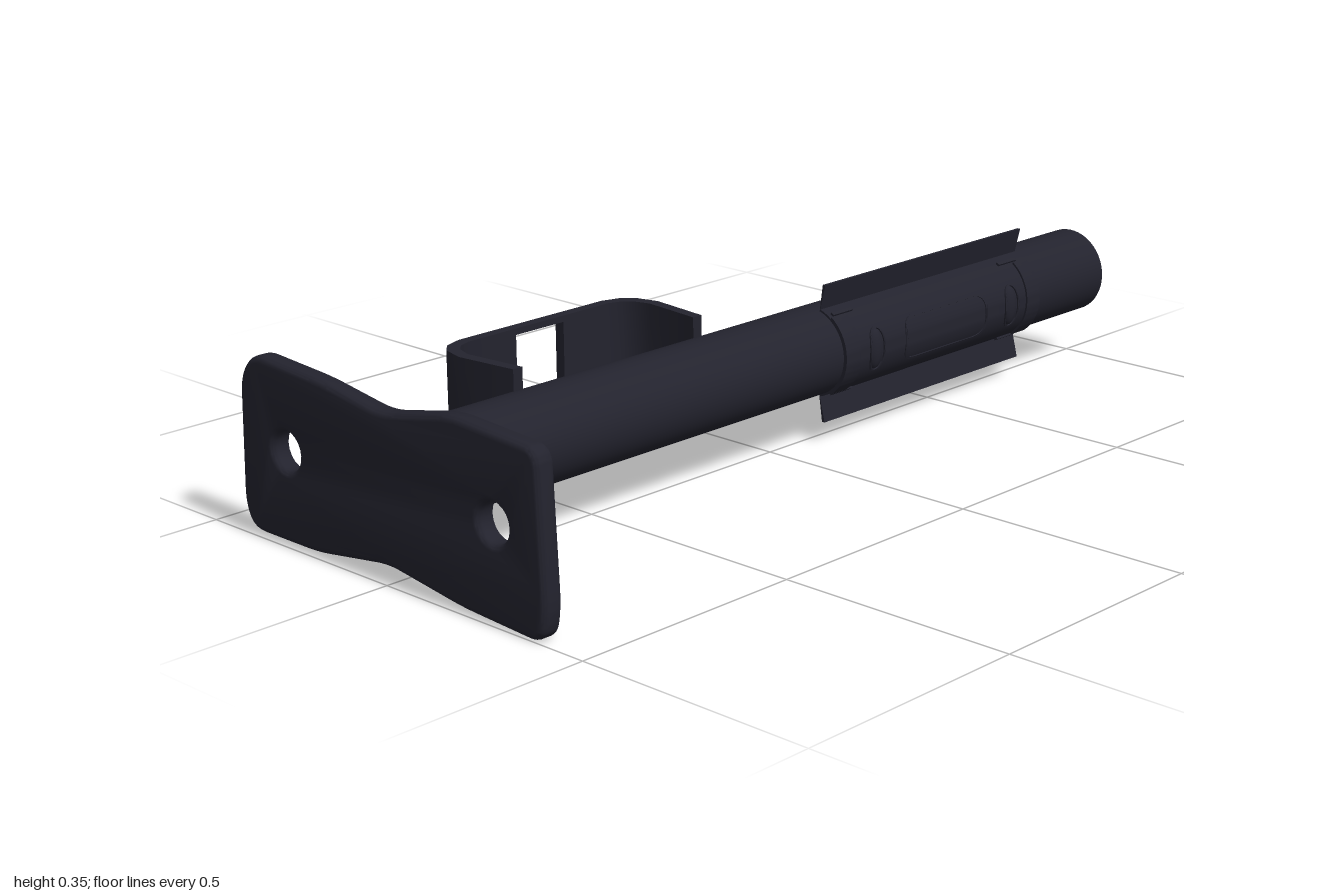
import * as THREE from 'three';
import { toCreasedNormals } from 'three/addons/utils/BufferGeometryUtils.js';

const AXIS_Y = 0.19; // height of the tube axis
const TUBE_R = 0.092;
const V = (x, y) => new THREE.Vector2(x, y);

// Closed path through points, every corner rounded by r
function roundedPath(path, pts, r) {
  pts.forEach((p, i) => {
    const toward = (q) => {
      const d = q.clone().sub(p);
      return p.clone().add(d.setLength(Math.min(r, d.length() / 2)));
    };
    const a = toward(pts[(i + pts.length - 1) % pts.length]);
    const b = toward(pts[(i + 1) % pts.length]);
    if (i === 0) path.moveTo(a.x, a.y); else path.lineTo(a.x, a.y);
    path.quadraticCurveTo(p.x, p.y, b.x, b.y);
  });
  path.closePath();
  return path;
}

// Extrudes a (-z, y) section along x
function extrudeX(shape, x0, length, options = {}) {
  const g = new THREE.ExtrudeGeometry(shape, { depth: length, bevelEnabled: false, curveSegments: 24, ...options });
  g.rotateY(Math.PI / 2).translate(x0, 0, 0);
  return toCreasedNormals(g, 0.6);
}

// Section of a shell around the tube's front, with optional flared lips
function shellSection(inner, outer, half, lips) {
  const s = new THREE.Shape(), n = 28, at = (r, a) => [-r * Math.cos(a), r * Math.sin(a)];
  s.moveTo(...at(outer, -half));
  for (let i = 1; i <= n; i++) s.lineTo(...at(outer, -half + (2 * half * i) / n));
  if (lips) { s.lineTo(-0.041, 0.145); s.lineTo(-0.034, 0.145); }
  for (let i = 0; i <= n; i++) s.lineTo(...at(inner, half - (2 * half * i) / n));
  if (lips) { s.lineTo(-0.034, -0.145); s.lineTo(-0.041, -0.145); }
  s.closePath();
  return s;
}

// Thin outline wrapped on the front of the sleeve
function wrappedFrame(w, h, r, line, radius) {
  const box = (path, a, b, c) => roundedPath(path, [V(-a, -b), V(a, -b), V(a, b), V(-a, b)], c);
  const outer = box(new THREE.Path(), w / 2, h / 2, r).getSpacedPoints(96);
  const inner = box(new THREE.Path(), w / 2 - line, h / 2 - line, r - line / 2).getSpacedPoints(96);
  const shape = new THREE.Shape(outer.slice(0, -1));
  shape.holes.push(new THREE.Path(inner.slice(0, -1)));
  const g = new THREE.ExtrudeGeometry(shape, { depth: 0.004, bevelEnabled: false });
  const p = g.attributes.position;
  for (let i = 0; i < p.count; i++) {
    const a = p.getY(i) / radius, q = radius + p.getZ(i);
    p.setXYZ(i, p.getX(i), q * Math.sin(a), q * Math.cos(a));
  }
  return toCreasedNormals(g, 0.6);
}

export function createModel() {
  const model = new THREE.Group();
  model.name = 'wallTubeBracket';
  const paint = new THREE.MeshStandardMaterial({ color: 0x23232e });
  paint.name = 'darkPaint';
  const add = (name, geometry, x = 0, y = 0, z = 0) => {
    const m = new THREE.Mesh(geometry, paint);
    m.name = name;
    m.position.set(x, y, z);
    model.add(m);
    return m;
  };

  // Waisted base plate with two bolt holes
  const outline = [
    [-0.41, 0.055], [-0.385, 0.011], [-0.2, 0.011], [0, 0.039], [0.2, 0.011], [0.4, 0],
    [0.412, 0.06], [0.398, 0.345], [0.18, 0.358], [0, 0.321], [-0.17, 0.346], [-0.362, 0.358], [-0.402, 0.31],
  ].map(([z, y]) => V(-z, y));
  const plate = roundedPath(new THREE.Shape(), outline.reverse(), 0.035);
  // The waist gets its long sweep from the shallow angles of the outline
  for (const z of [0.284, -0.274]) {
    plate.holes.push(new THREE.Path().absarc(-z, 0.188, 0.038, 0, Math.PI * 2, true));
  }
  add('basePlate', extrudeX(plate, -0.988, 0.019, {
    bevelEnabled: true, bevelThickness: 0.012, bevelSize: 0.012, bevelOffset: -0.012, bevelSegments: 4, curveSegments: 10,
  }));

  // Hollow main tube
  const tube = new THREE.LatheGeometry(
    [V(0, -0.93), V(0.077, -0.93), V(0.077, 1), V(TUBE_R, 1), V(TUBE_R, -0.97)].reverse(), 48);
  // Lathe is turned inside out by the reversed profile, so run it upward on the outside
  tube.rotateZ(-Math.PI / 2);
  add('mainTube', toCreasedNormals(tube, 0.6), 0, AXIS_Y);

  // Uneven weld bead between tube and plate
  const bead = new THREE.TorusGeometry(0.092, 0.02, 10, 96);
  const bp = bead.attributes.position;
  for (let i = 0; i < bp.count; i++) {
    const a = Math.atan2(bp.getY(i), bp.getX(i));
    const k = 1 + 0.025 * Math.cos(18 * a);
    bp.setXY(i, bp.getX(i) * k, bp.getY(i) * k);
  }
  bead.computeVertexNormals();
  bead.rotateY(Math.PI / 2);
  add('weldBead', bead, -0.95, AXIS_Y);

  // Rear strap: two bent halves joined by narrow strips above and below the window
  const half = [
    [0.25, -0.065], [0.265, -0.2], [0.252, -0.25], [0.23, -0.273], [0.19, -0.286], [0.063, -0.286],
    [0.063, -0.263], [0.185, -0.263], [0.213, -0.253], [0.23, -0.235], [0.241, -0.2], [0.227, -0.065],
  ];
  for (const side of [-1, 1]) {
    const s = new THREE.Shape(half.map(([x, z]) => V(side * x, -z)));
    const g = new THREE.ExtrudeGeometry(s, { depth: 0.23, bevelEnabled: false });
    g.rotateX(-Math.PI / 2);
    add(side < 0 ? 'strapRight' : 'strapLeft', toCreasedNormals(g, 0.7), -0.38, 0.075);
  }
  for (const y of [0.0815, 0.2985]) {
    add('strapBridge', new THREE.BoxGeometry(0.128, 0.013, 0.023), -0.38, y, -0.2745);
  }

  // Front sleeve with flared lips and raised end bands
  add('sleeve', extrudeX(shellSection(0.089, 0.096, 1.28, true), 0.12, 0.64), 0, AXIS_Y);
  for (const x of [0.12, 0.715]) {
    add('sleeveBand', extrudeX(shellSection(0.09, 0.1, 0.95, false), x, 0.045), 0, AXIS_Y);
  }

  // Pressed details on the sleeve
  add('panelOutline', wrappedFrame(0.27, 0.098, 0.035, 0.005, 0.094), 0.445, AXIS_Y);
  for (const x of [0.22, 0.665]) {
    add('dimpleOutline', wrappedFrame(0.046, 0.096, 0.045, 0.004, 0.095), x, AXIS_Y);
    const dimple = add('dimple', new THREE.SphereGeometry(1, 20, 12), x, AXIS_Y, 0.085);
    dimple.scale.set(0.022, 0.043, 0.016);
  }
  for (const x of [0.16, 0.7]) for (const s of [-1, 1]) {
    const tab = add('sleeveTab', new THREE.BoxGeometry(0.06, 0.008, 0.006), x, AXIS_Y + s * 0.083, 0.05);
    tab.rotation.x = -s * 1.03;
  }
  return model;
}
